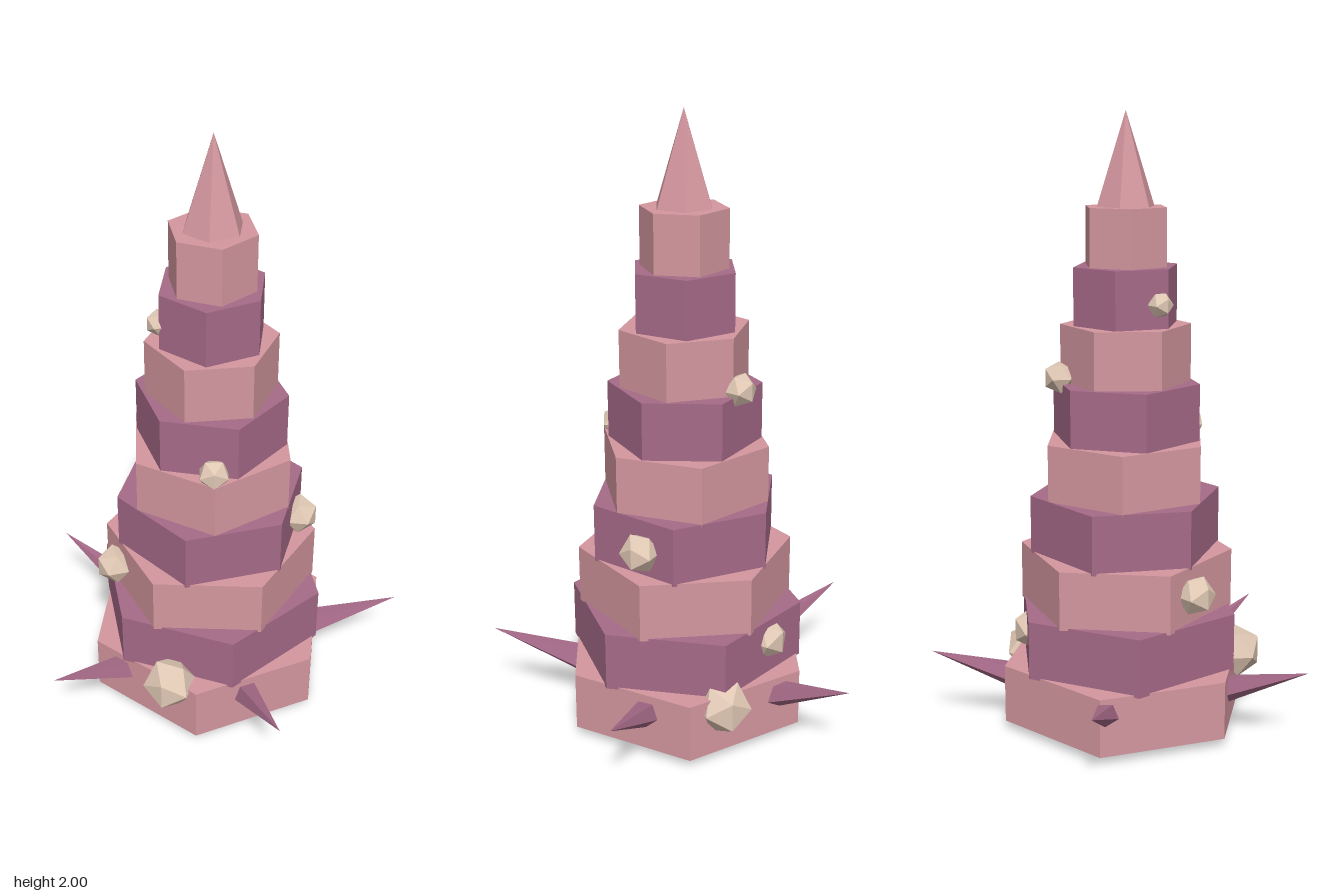
import * as THREE from 'three';

const paint = (color) => new THREE.MeshStandardMaterial({ color, flatShading: true });

export function createModel() {
  const model = new THREE.Group();
  model.name = 'tieredSpire';
  const pink = paint(0xd4979f), purple = paint(0xa66a88), beige = paint(0xe0c8b4);

  const add = (name, geometry, material, x, y, z) => {
    const mesh = new THREE.Mesh(geometry, material);
    mesh.name = name;
    mesh.position.set(x, y, z);
    model.add(mesh);
    return mesh;
  };

  // the spire stands a little off the middle of the footprint
  const cx = 0.005, cz = 0.055;

  // nine shrinking hexagonal tiers, each twisted a little further
  const height = 0.193;
  for (let i = 0; i < 9; i++) {
    const r = 0.42 - 0.035 * i;
    const top = 0.221 + 0.1855 * i;
    const tier = add(`tier${i + 1}`, new THREE.CylinderGeometry(r, r, height, 6),
      i % 2 ? purple : pink, cx, top - height / 2, cz);
    tier.rotation.y = 0.3 * i;
  }

  // pointed cap
  add('tip', new THREE.ConeGeometry(0.096, 0.295, 6), pink, cx, 1.8525, cz);

  // five slender spikes leaning outwards around the base
  const up = new THREE.Vector3(0, 1, 0);
  for (let i = 0; i < 5; i++) {
    const a = THREE.MathUtils.degToRad(52 + 72 * i);
    const at = (r, y) => new THREE.Vector3(cx + r * Math.cos(a), y, cz + r * Math.sin(a));
    const base = at(0.15, 0.075), tip = at(0.648, 0.26);
    const dir = tip.clone().sub(base), length = dir.length();
    dir.normalize();
    const geometry = new THREE.ConeGeometry(0.08, length, 5);
    // turn one edge of the spike to the underside, then lean it outwards
    geometry.rotateY(Math.PI / 2);
    const spike = add(`spike${i + 1}`, geometry, purple, 0, 0, 0);
    spike.position.copy(base).add(tip).multiplyScalar(0.5);
    const side = new THREE.Vector3().crossVectors(up, dir).normalize();
    const down = new THREE.Vector3().crossVectors(side, dir).normalize();
    if (down.y > 0) { down.negate(); side.negate(); }
    const zAxis = new THREE.Vector3().crossVectors(down, dir);
    spike.quaternion.setFromRotationMatrix(new THREE.Matrix4().makeBasis(down, dir, zAxis));
  }

  // faceted barnacles: x, y, z, radius
  [
    [-0.355, 0.21, 0.155, 0.09],
    [0.355, 0.175, 0.13, 0.09],
    [0.29, 0.33, -0.078, 0.07],
    [-0.26, 0.505, -0.147, 0.065],
    [0.15, 0.675, 0.31, 0.065],
    [-0.18, 0.985, 0.2, 0.052],
    [0.205, 1.165, -0.02, 0.055],
    [-0.125, 1.41, -0.05, 0.042],
  ].forEach(([x, y, z, r], i) => {
    const barnacle = add(`barnacle${i + 1}`, new THREE.IcosahedronGeometry(r, 0), beige, x, y, z);
    barnacle.rotation.y = Math.atan2(x - cx, z - cz);
  });

  return model;
}
